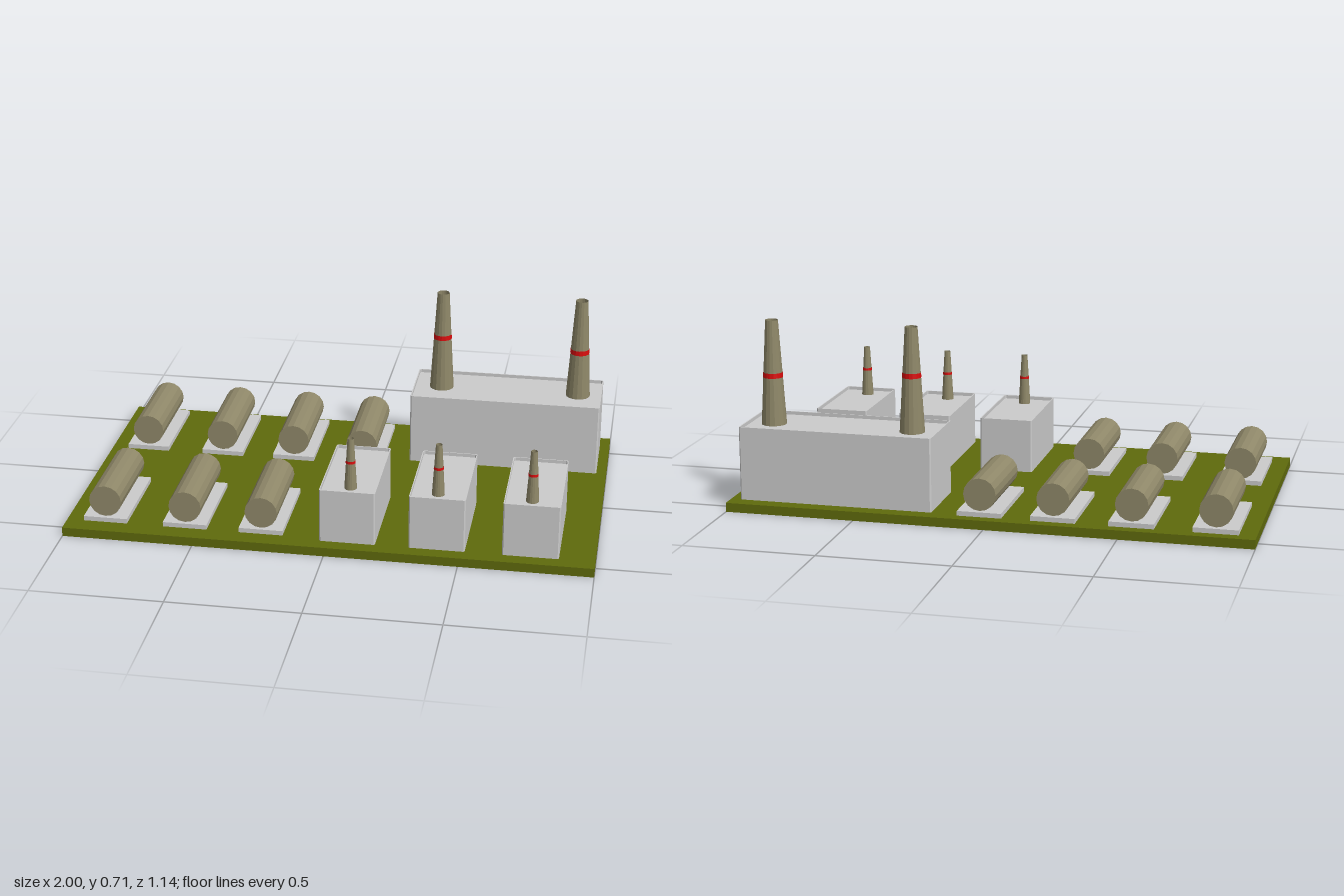
import * as THREE from 'three';

const material = (color, extra = {}) =>
  new THREE.MeshStandardMaterial({ color, flatShading: true, ...extra });
const GROUND = 0.035;

export function createModel() {
  const model = new THREE.Group();
  const grass = material(0x5f6a0c);
  const grey = material(0xcccccc);
  const concrete = material(0x8f8869);
  const chimneySkin = material(0x8f8869, { side: THREE.DoubleSide });
  const red = material(0xd80c0c, { side: THREE.DoubleSide });

  function add(parent, name, geometry, mat, x, y, z) {
    const mesh = new THREE.Mesh(geometry, mat);
    mesh.name = name;
    mesh.position.set(x, y, z);
    parent.add(mesh);
    return mesh;
  }

  function group(name, x, y, z) {
    const g = new THREE.Group();
    g.name = name;
    g.position.set(x, y, z);
    model.add(g);
    return g;
  }

  // Rectangle outline with slightly cut corners
  function outline(w, d, cut) {
    const a = w / 2, b = d / 2;
    return [[a - cut, -b], [a, -b + cut], [a, b - cut], [a - cut, b],
      [-a + cut, b], [-a, b - cut], [-a, -b + cut], [-a + cut, -b]]
      .map(([x, y]) => new THREE.Vector2(x, y));
  }

  function extrudeUp(shape, height) {
    return new THREE.ExtrudeGeometry(shape, { depth: height, bevelEnabled: false })
      .rotateX(-Math.PI / 2);
  }

  // Block with a thin parapet around a slightly sunken roof
  function addBuilding(name, x0, x1, z0, z1, top) {
    const w = x1 - x0, d = z1 - z0, parapet = 0.013, cut = 0.005;
    const g = group(name, (x0 + x1) / 2, GROUND, (z0 + z1) / 2);
    const bodyHeight = top - GROUND - parapet;
    add(g, 'walls', extrudeUp(new THREE.Shape(outline(w, d, cut)), bodyHeight), grey, 0, 0, 0);
    const ring = new THREE.Shape(outline(w, d, cut));
    ring.holes.push(new THREE.Path(outline(w - 0.008, d - 0.008, cut).reverse()));
    add(g, 'parapet', extrudeUp(ring, parapet), grey, 0, bodyHeight, 0);
  }

  // Tapered open chimney with a painted band
  function addChimney(x, z, bottom, top, rBottom, rTop, bandY, bandHeight) {
    const g = group('chimney', x, bottom, z);
    const h = top - bottom;
    const radiusAt = (y) => rBottom + (rTop - rBottom) * (y - bottom) / h;
    add(g, 'stack', new THREE.CylinderGeometry(rTop, rBottom, h, 16, 1, true), chimneySkin, 0, h / 2, 0);
    const band = new THREE.CylinderGeometry(
      radiusAt(bandY + bandHeight / 2) + 0.001,
      radiusAt(bandY - bandHeight / 2) + 0.001, bandHeight, 16, 1, true);
    add(g, 'warningBand', band, red, 0, bandY - bottom, 0);
  }

  // Horizontal tank lying on a pad
  function addTank(x, z) {
    const g = group('storageTank', x, GROUND, z);
    add(g, 'pad', new THREE.BoxGeometry(0.168, 0.018, 0.368), grey, 0, 0.009, 0);
    const tank = new THREE.CylinderGeometry(0.062, 0.062, 0.35, 16).rotateX(Math.PI / 2);
    add(g, 'tank', tank, concrete, 0, 0.083, 0);
  }

  add(model, 'ground', new THREE.BoxGeometry(2, GROUND, 1.14), grass, 0, GROUND / 2, 0);

  // Main hall with two large chimneys
  addBuilding('mainHall', 0.212, 0.962, -0.513, -0.23, 0.318);
  addChimney(0.32, -0.38, 0.304, 0.708, 0.048, 0.024, 0.525, 0.019);
  addChimney(0.867, -0.38, 0.304, 0.708, 0.048, 0.024, 0.497, 0.019);

  // Three small boiler houses, each with a chimney near its front
  for (const [x, chimneyX] of [[0.08, 0.084], [0.415, 0.411], [0.762, 0.758]]) {
    addBuilding('boilerHouse', x - 0.105, x + 0.105, 0.112, 0.516, 0.245);
    addChimney(chimneyX, 0.451, 0.231, 0.434, 0.024, 0.012, 0.341, 0.01);
  }

  // Tank rows: four at the back, three at the front
  for (const x of [-0.851, -0.543, -0.251, 0.026]) addTank(x, -0.343);
  for (const x of [-0.851, -0.543, -0.251]) addTank(x, 0.313);

  return model;
}
